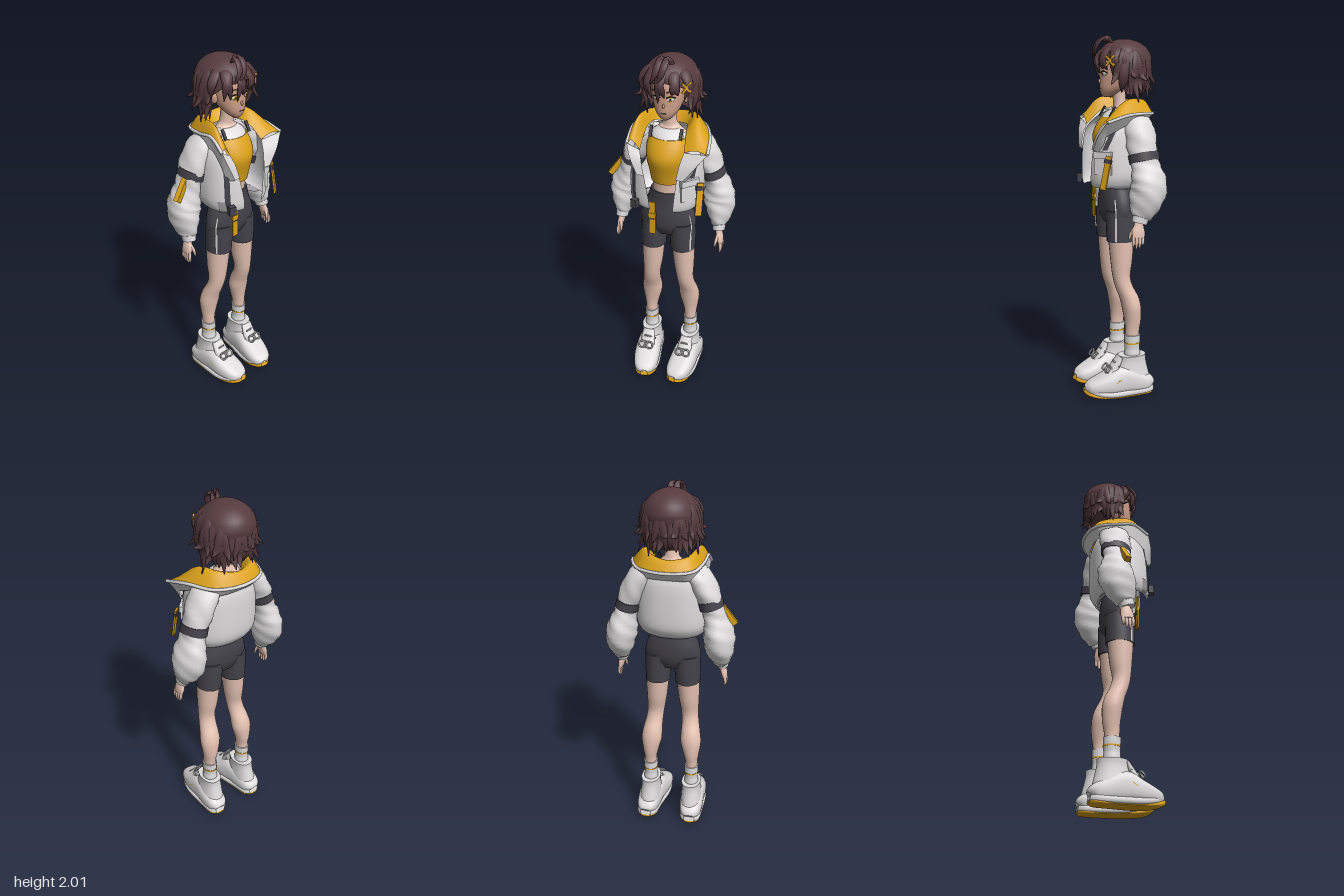
import * as THREE from 'three';

const mat = (name, color) => Object.assign(new THREE.MeshStandardMaterial({ color, side: THREE.DoubleSide }), { name });
const rad = THREE.MathUtils.degToRad;
const V = (a) => new THREE.Vector3(a[0], a[1], a[2]);
const spow = (v, e) => Math.sign(v) * Math.pow(Math.abs(v), e);

// Catmull-Rom smoothing of rows of numbers
function smooth(rows, k = 4) {
  const out = [], n = rows.length - 1;
  for (let i = 0; i < n; i++) {
    const [a, b, c, d] = [-1, 0, 1, 2].map((o) => rows[Math.min(n, Math.max(0, i + o))]);
    for (let j = 0; j < k; j++) {
      const t = j / k;
      out.push(b.map((_, q) => 0.5 * (2 * b[q] + (c[q] - a[q]) * t + (2 * a[q] - 5 * b[q] + 4 * c[q] - d[q]) * t * t
        + (3 * b[q] - a[q] - 3 * c[q] + d[q]) * t * t * t)));
    }
  }
  return [...out, rows[n]];
}

function geometry(pos, idx) {
  const g = new THREE.BufferGeometry();
  g.setAttribute('position', new THREE.Float32BufferAttribute(pos, 3));
  g.setIndex(idx);
  g.computeVertexNormals();
  return g;
}

// Closed solid through rows [x, y, z, radiusA, radiusB]; rings are level unless tilt is set
function loft(rows, { seg = 20, e = 1, tilt = false, ref = [0, 0, 1], wave = 0 } = {}) {
  const R = smooth(rows), pos = [], idx = [], Z = V(ref), rings = [];
  const level = new THREE.Vector3(0, Math.sign(R.at(-1)[1] - R[0][1]), 0);
  R.forEach((r, i) => {
    const T = tilt ? V(R[Math.min(i + 1, R.length - 1)]).sub(V(R[Math.max(i - 1, 0)])).normalize() : level;
    const U = T.clone().cross(Z).normalize(), W = T.clone().cross(U), ring = [];
    for (let j = 0; j < seg; j++) {
      const a = (j / seg) * Math.PI * 2, f = 1 + wave * Math.sin(3 * a + i * 0.9) * Math.sin(i * 0.55);
      ring.push(V(r).addScaledVector(U, spow(Math.cos(a), e) * Math.max(r[3], 0.0005) * f)
        .addScaledVector(W, spow(Math.sin(a), e) * Math.max(r[4], 0.0005) * f));
    }
    rings.push(ring);
    ring.forEach((p) => pos.push(p.x, p.y, p.z));
  });
  for (let i = 0; i < R.length - 1; i++) for (let j = 0; j < seg; j++) {
    const a = i * seg + j, b = i * seg + (j + 1) % seg;
    idx.push(a, b, b + seg, a, b + seg, a + seg);
  }
  [[0, true], [R.length - 1, false]].forEach(([i, flip]) => {
    const c = pos.length / 3;
    pos.push(...R[i].slice(0, 3));
    rings[i].forEach((p) => pos.push(p.x, p.y, p.z));
    for (let j = 0; j < seg; j++) {
      const a = c + 1 + j, b = c + 1 + (j + 1) % seg;
      flip ? idx.push(c, b, a) : idx.push(c, a, b);
    }
  });
  return geometry(pos, idx);
}

// Grid of points(u index, v index)
function grid(rows, cols, fn) {
  const pos = [], idx = [];
  for (let i = 0; i <= rows; i++) for (let j = 0; j <= cols; j++) pos.push(...fn(i, j));
  for (let i = 0; i < rows; i++) for (let j = 0; j < cols; j++) {
    const a = i * (cols + 1) + j, b = a + cols + 1;
    idx.push(a, a + 1, b + 1, a, b + 1, b);
  }
  return geometry(pos, idx);
}

// Open wall through rows [y, rx, rz, cx, cz, angle0, angle1], angle from +z towards +x
function shell(rows, { seg = 40, e = 1 } = {}) {
  const R = smooth(rows);
  return grid(R.length - 1, seg, (i, j) => {
    const [y, rx, rz, cx, cz, a0, a1] = R[i], a = a0 + (a1 - a0) * j / seg;
    return [cx + rx * spow(Math.sin(a), e), y, cz + rz * spow(Math.cos(a), e)];
  });
}

// Smooth surface across several guide curves
function ribbon(...guides) {
  const lines = guides.map((p) => new THREE.CatmullRomCurve3(p.map(V)).getPoints(48));
  const across = lines[0].map((_, j) => smooth(lines.map((l) => l[j].toArray()), 5));
  return grid(across[0].length - 1, 48, (i, j) => across[j][i]);
}

export function createModel() {
  const M = {
    skin: mat('skin', 0xe6c3b3), face: mat('faceSkin', 0xcf9f8a), hair: mat('hairBrown', 0x563b3e), white: mat('white', 0xdedcdd),
    yellow: mat('yellow', 0xdba21a), dark: mat('charcoal', 0x45434b), grey: mat('grey', 0xa5a3a6), ink: mat('ink', 0x2a2023),
  };
  const model = new THREE.Group();
  const add = (name, geo, m, p, r) => {
    const o = new THREE.Mesh(geo, m);
    o.name = name;
    if (p) o.position.set(...p);
    if (r) o.rotation.set(...r);
    model.add(o);
    return o;
  };
  const box = (name, size, m, p, r) => add(name, new THREE.BoxGeometry(...size), m, p, r);
  const ball = (name, size, m, p, r) => add(name, new THREE.SphereGeometry(1, 18, 12), m, p, r).scale.set(...size);
  const tube = (name, pts, r, m) => add(name, new THREE.TubeGeometry(new THREE.CatmullRomCurve3(pts.map(V)), 40, r, 6), m);

  // Torso, top and neck
  add('torso', loft([[0, 1.2, 0.005, 0.09, 0.075], [0, 1.32, 0.01, 0.082, 0.075], [0, 1.45, 0.02, 0.098, 0.088], [0, 1.56, -0.01, 0.115, 0.07],
    [0, 1.61, -0.025, 0.06, 0.045], [0, 1.64, -0.025, 0.037, 0.037], [0, 1.72, -0.015, 0.035, 0.035]]), M.skin);
  add('tankTop', loft([[0, 1.32, 0.015, 0.09, 0.085], [0, 1.38, 0.02, 0.098, 0.092], [0, 1.46, 0.025, 0.113, 0.104], [0, 1.52, 0.015, 0.113, 0.095],
    [0, 1.57, 0, 0.1, 0.078]], { seg: 32 }), M.yellow);
  add('neckTrim', loft([[0, 1.565, 0, 0.095, 0.08], [0, 1.59, -0.008, 0.085, 0.066], [0, 1.61, -0.02, 0.06, 0.048]], { seg: 32 }), M.white);

  // Shorts
  add('shortsHip', loft([[0, 0.985, 0, 0.135, 0.06], [0, 1.04, 0, 0.158, 0.085], [0, 1.11, -0.002, 0.15, 0.092], [0, 1.19, 0, 0.118, 0.086],
    [0, 1.26, 0.005, 0.096, 0.082]], { seg: 32 }), M.dark);

  for (const s of [-1, 1]) {
    const side = s > 0 ? 'left' : 'right';
    const mir = (rows) => rows.map((r) => [r[0] * s, ...r.slice(1)]);

    // Legs
    add(side + 'ShortsLeg', loft(mir([[0.086, 0.89, 0, 0.071, 0.08], [0.084, 0.96, 0, 0.073, 0.083], [0.08, 1.06, 0, 0.075, 0.084]])), M.dark);
    add(side + 'ShortsStripe', shell([[0.895, 0.073, 0.082], [0.98, 0.0755, 0.0855], [1.06, 0.081, 0.088], [1.13, 0.07, 0.09]]
      .map(([y, a, b]) => [y, a, b, s * (y > 1.1 ? 0.08 : 0.084), 0, s * rad(49), s * rad(57)]), { seg: 4 }), M.white);
    add(side + 'Leg', loft(mir([[0.122, 0.2, -0.055, 0.034, 0.038], [0.124, 0.36, -0.055, 0.035, 0.04], [0.122, 0.43, -0.058, 0.045, 0.047],
      [0.117, 0.51, -0.052, 0.06, 0.054], [0.113, 0.57, -0.038, 0.056, 0.054], [0.106, 0.63, -0.012, 0.05, 0.05], [0.1, 0.69, 0.002, 0.05, 0.05],
      [0.094, 0.78, 0, 0.059, 0.062], [0.088, 0.92, 0, 0.067, 0.074]])), M.skin);
    add(side + 'Sock', loft(mir([[0.123, 0.2, -0.055, 0.039, 0.044], [0.124, 0.24, -0.055, 0.042, 0.046], [0.124, 0.27, -0.055, 0.038, 0.043],
      [0.124, 0.3, -0.055, 0.04, 0.045], [0.124, 0.35, -0.055, 0.041, 0.046]])), M.white);
    add(side + 'SockStripe', loft(mir([[0.124, 0.3, -0.055, 0.042, 0.047], [0.124, 0.308, -0.055, 0.042, 0.047]])), M.yellow);

    // Shoes
    const along = { tilt: true, ref: [0, 1, 0], e: 0.75, seg: 24 };
    add(side + 'ShoeUpper', loft(mir([[0.134, 0.045, -0.168, 0.03, 0.025], [0.133, 0.058, -0.145, 0.056, 0.047], [0.13, 0.075, -0.08, 0.068, 0.065],
      [0.123, 0.096, 0, 0.073, 0.086], [0.115, 0.079, 0.08, 0.078, 0.066], [0.104, 0.064, 0.15, 0.071, 0.048], [0.095, 0.056, 0.195, 0.052, 0.034],
      [0.091, 0.053, 0.218, 0.022, 0.014]]), along), M.white);
    add(side + 'Midsole', loft(mir([[0.134, 0.036, -0.172, 0.032, 0.016], [0.133, 0.03, -0.14, 0.06, 0.02], [0.128, 0.027, -0.05, 0.069, 0.02],
      [0.116, 0.027, 0.07, 0.08, 0.02], [0.106, 0.036, 0.14, 0.073, 0.018], [0.099, 0.047, 0.185, 0.053, 0.014]]), { ...along, e: 0.55 }), M.white);
    add(side + 'Sole', loft(mir([[0.134, 0.022, -0.173, 0.03, 0.013], [0.133, 0.013, -0.14, 0.058, 0.013], [0.128, 0.007, -0.05, 0.064, 0.007],
      [0.116, 0.008, 0.07, 0.074, 0.008], [0.104, 0.018, 0.15, 0.068, 0.015], [0.094, 0.034, 0.198, 0.05, 0.02], [0.089, 0.046, 0.224, 0.022, 0.012]]), along), M.yellow);
    add(side + 'ShoeCollar', loft(mir([[0.128, 0.05, -0.05, 0.064, 0.11], [0.127, 0.1, -0.052, 0.064, 0.105], [0.125, 0.15, -0.052, 0.059, 0.093],
      [0.124, 0.2, -0.053, 0.055, 0.081], [0.124, 0.235, -0.053, 0.057, 0.08]]), { e: 0.9 }), M.white);
    add(side + 'ShoeTongue', loft(mir([[0.115, 0.1, 0.1, 0.04, 0.026], [0.119, 0.16, 0.055, 0.044, 0.026], [0.123, 0.23, 0.018, 0.036, 0.012]]), { tilt: true }), M.white);
    for (const [y, z] of [[0.148, 0.103], [0.177, 0.083], [0.205, 0.058]]) {
      tube(side + 'Lace', [[s * 0.118 - 0.045, y - 0.025, z - 0.022], [s * 0.118, y, z], [s * 0.118 + 0.045, y - 0.025, z - 0.022]], 0.005, M.grey);
    }
    for (const d of [-1, 1]) add(side + 'LaceLoop', new THREE.TorusGeometry(0.02, 0.005, 6, 18), M.white, [s * 0.118 + d * 0.024, 0.168, 0.1], [-0.7, 0, d * 0.3]);
    box(side + 'ShoeAccent', [0.006, 0.016, 0.034], M.yellow, [s * 0.191, 0.1, 0.045], [0.6, 0, 0]);

    // Sleeves and arm bands
    const arm = { tilt: true, seg: 28 }, dz = s > 0 ? 0 : 0.015, up = s > 0 ? 0 : 1;
    const fwd = (rows) => rows.map((r) => [r[0], r[1], r[2] + dz, r[3], r[4]]);
    add(side + 'Sleeve', loft(fwd(mir([[0.09, 1.575, -0.05, 0.035, 0.06], [0.15, 1.53, -0.065, 0.065, 0.085], [0.197, 1.45, -0.072, 0.068, 0.086],
      [0.23, 1.37, -0.075, 0.059, 0.077], [0.245, 1.31, -0.08, 0.062, 0.08], [0.26, 1.25, -0.086, 0.08, 0.094], [0.27, 1.19, -0.085, 0.086, 0.1],
      [0.276, 1.12, -0.065, 0.074, 0.088], [0.28, 1.06, -0.042, 0.046, 0.06], [0.282, 1.045, -0.036, 0.036, 0.046]])), { ...arm, wave: 0.08 }), M.white);
    add(side + 'Cuff', loft(fwd(mir([[0.281, 1.06, -0.04, 0.038, 0.047], [0.284, 1.02, -0.028, 0.034, 0.042]])), arm), M.white);
    add(side + 'ArmBand', loft(fwd(mir([[0.224 - up * 0.012, 1.382 + up * 0.035, -0.074, 0.066, 0.085], [0.236 - up * 0.012, 1.338 + up * 0.035, -0.078, 0.065, 0.084]])), arm), M.dark);

    // Hands
    add(side + 'Palm', loft(mir([[0.283, 1.04, -0.03, 0.02, 0.026], [0.287, 1.01, -0.025, 0.019, 0.027], [0.295, 0.975, -0.02, 0.018, 0.036],
      [0.302, 0.945, -0.018, 0.013, 0.034]]), arm), M.skin);
    for (let f = 0; f < 4; f++) {
      const z = 0.01 - f * 0.018, len = [0.045, 0.055, 0.052, 0.038][f];
      add(side + 'Finger', loft(mir([[0.301, 0.955, z, 0.009, 0.009], [0.306, 0.945 - len / 2, z + 0.002, 0.009, 0.009],
        [0.303, 0.945 - len, z + 0.003, 0.005, 0.005]]), { tilt: true, seg: 8 }), M.skin);
    }
    add(side + 'Thumb', loft(mir([[0.287, 1.0, -0.005, 0.01, 0.012], [0.28, 0.965, 0.018, 0.009, 0.009], [0.276, 0.935, 0.024, 0.005, 0.005]]), { tilt: true, seg: 8 }), M.skin);
    box(side + 'ShoulderStrap', [0.016, 0.06, 0.008], M.dark, [s * 0.082, 1.6, 0.048], [-0.55, 0, 0]);

    // Face features
    ball(side + 'EyeWhite', [0.02, 0.011, 0.004], M.white, [s * 0.037, 1.798, 0.081], [0, s * 0.42, 0]);
    ball(side + 'Iris', [0.01, 0.011, 0.004], M.yellow, [s * 0.036, 1.798, 0.083], [0, s * 0.42, 0]);
    ball(side + 'Pupil', [0.004, 0.006, 0.003], M.ink, [s * 0.036, 1.798, 0.086], [0, s * 0.42, 0]);
    tube(side + 'Lash', [[s * 0.016, 1.806, 0.09], [s * 0.036, 1.813, 0.085], [s * 0.058, 1.804, 0.069]], 0.003, M.ink);
    tube(side + 'Brow', [[s * 0.015, 1.832, 0.088], [s * 0.036, 1.838, 0.082], [s * 0.058, 1.832, 0.068]], 0.0025, M.hair);
    ball(side + 'Ear', [0.012, 0.03, 0.02], M.face, [s * 0.087, 1.78, -0.02], [0, -s * 0.3, 0]);
  }

  // Jacket: rows are y, rx, rz, cz, right opening x, left opening x
  const E = 0.85;
  const J = [[1.195, 0.17, 0.137, 0.028, 0.05, 0.075], [1.215, 0.185, 0.152, 0.025, 0.052, 0.075], [1.27, 0.2, 0.165, 0.015, 0.058, 0.08],
    [1.4, 0.197, 0.165, 0.01, 0.085, 0.095], [1.5, 0.187, 0.155, 0.003, 0.115, 0.125], [1.56, 0.16, 0.125, -0.01, 0.12, 0.12], [1.6, 0.1, 0.085, -0.03, 0.08, 0.08]];
  const gap = (x, rx) => Math.asin(Math.pow(x / rx, 1 / E));
  add('jacketBody', shell(J.map(([y, rx, rz, cz, r, l]) => [y, rx, rz, 0, cz, gap(l, rx), Math.PI * 2 - gap(r, rx)]), { e: E, seg: 60 }), M.white);
  add('hemGather', shell([[1.195, 0.17, 0.137, 0.028], [1.185, 0.15, 0.115, 0.018], [1.195, 0.118, 0.088, 0]]
    .map(([y, rx, rz, cz]) => [y, rx, rz, 0, cz, rad(75), rad(285)]), { e: 0.9 }), M.grey);
  const strip = (name, a, b, half, list, m) => add(name, shell(list.map((i, n) => {
    const [y, rx, rz, cz] = J[i], d = n * (b - a) / (list.length - 1);
    return [y, rx + 0.005, rz + 0.005, 0, cz, rad(a + d - half), rad(a + d + half)];
  }), { e: E, seg: 4 }), m);
  strip('rightPanelStrap', -41, -45, 5, [1, 2, 3, 4], M.dark);
  strip('rightPanelPatch', -54, -54, 8, [0, 1, 2], M.grey);
  strip('leftPanelStrap', 52, 66, 5, [3, 4], M.dark);
  box('panelPouch', [0.036, 0.05, 0.03], M.dark, [-0.137, 1.225, 0.168], [0, -0.3, 0]);
  box('leftPocket', [0.1, 0.11, 0.022], M.white, [0.15, 1.325, 0.125], [0, 0.8, 0]);
  box('leftPocketFlap', [0.106, 0.035, 0.03], M.white, [0.152, 1.375, 0.127], [0, 0.8, 0]);
  box('leftYellowStrap', [0.036, 0.18, 0.01], M.yellow, [0.208, 1.285, 0.13], [-0.2, 0.6, 0]);
  box('leftBuckle', [0.042, 0.022, 0.016], M.dark, [0.207, 1.345, 0.118], [-0.2, 0.6, 0]);
  box('hangingStrap', [0.038, 0.2, 0.008], M.yellow, [-0.06, 1.11, 0.108]);
  box('hangingBuckle', [0.044, 0.022, 0.014], M.yellow, [-0.06, 1.13, 0.108]);
  box('hangingTab', [0.03, 0.006, 0.012], M.dark, [-0.06, 1.105, 0.108]);
  box('sleeveTag', [0.03, 0.14, 0.03], M.yellow, [-0.306, 1.333, -0.035], [0, 0.2, -0.65]);

  // Wide collar folded over: white underside and lapels, yellow lining rising to a crest around the neck
  const leftTip = [0.245, 1.548, 0.135], rightTip = [-0.182, 1.56, 0.145];
  const rim = [leftTip, [0.222, 1.585, 0], [0.15, 1.59, -0.15], [0, 1.59, -0.2], [-0.135, 1.595, -0.16], [-0.175, 1.61, -0.03], [-0.178, 1.62, 0.06], rightTip];
  const outer = [[0.18, 1.47, 0.12], [0.185, 1.53, 0], [0.13, 1.535, -0.125], [0, 1.535, -0.15], [-0.12, 1.535, -0.13],
    [-0.165, 1.54, -0.03], [-0.165, 1.53, 0.06], [-0.165, 1.47, 0.12]];
  const crest = [[0.18, 1.555, 0.122], [0.152, 1.662, -0.01], [0.105, 1.665, -0.115], [0, 1.648, -0.155], [-0.1, 1.66, -0.125],
    [-0.135, 1.678, -0.03], [-0.145, 1.672, 0.05], [-0.155, 1.575, 0.136]];
  const inner = [[0.118, 1.535, 0.118], [0.1, 1.61, 0.02], [0.075, 1.61, -0.07], [0, 1.6, -0.1], [-0.07, 1.61, -0.08],
    [-0.1, 1.62, -0.03], [-0.11, 1.6, 0.05], [-0.115, 1.525, 0.13]];
  add('collarUnderside', ribbon(outer, rim), M.white);
  add('collarLining', ribbon(inner, crest, rim), M.yellow);
  tube('collarEdge', rim, 0.009, M.white);
  add('leftLapel', ribbon([[0.09, 1.4, 0.17], [0.102, 1.47, 0.152], inner[0]], [[0.13, 1.4, 0.175], [0.19, 1.48, 0.165], leftTip]), M.white);
  add('rightLapel', ribbon([[-0.085, 1.4, 0.17], [-0.1, 1.47, 0.156], inner.at(-1)], [[-0.12, 1.4, 0.175], [-0.16, 1.49, 0.165], rightTip]), M.white);
  add('leftLapelSide', ribbon([[0.13, 1.4, 0.175], [0.19, 1.48, 0.165], leftTip], [[0.14, 1.39, 0.15], [0.17, 1.43, 0.13], outer[0]]), M.white);
  add('rightLapelSide', ribbon([[-0.12, 1.4, 0.175], [-0.16, 1.49, 0.165], rightTip], [[-0.13, 1.39, 0.15], [-0.155, 1.43, 0.13], outer.at(-1)]), M.white);

  // Head
  add('head', loft([[0, 1.675, 0.05, 0.012, 0.014], [0, 1.69, 0.042, 0.035, 0.038], [0, 1.72, 0.022, 0.06, 0.068], [0, 1.76, 0, 0.077, 0.09],
    [0, 1.81, -0.012, 0.085, 0.1], [0, 1.87, -0.03, 0.088, 0.112], [0, 1.94, -0.04, 0.06, 0.08]], { seg: 32 }), M.face);
  ball('nose', [0.006, 0.012, 0.01], M.face, [0, 1.762, 0.09], [-0.3, 0, 0]);
  box('mouth', [0.026, 0.003, 0.006], M.ink, [0, 1.722, 0.09]);

  // Hair cap
  add('hairCap', shell([[1.69, 0.09, 0.08, 100], [1.74, 0.125, 0.115, 86], [1.8, 0.143, 0.138, 68], [1.86, 0.146, 0.15, 38], [1.89, 0.14, 0.15, 0],
    [1.93, 0.12, 0.132, 0], [1.965, 0.08, 0.09, 0], [1.983, 0.035, 0.04, 0], [1.986, 0.001, 0.001, 0]]
    .map(([y, a, b, g]) => [y, a, b, 0, -0.05, rad(g), rad(360 - g)])), M.hair);

  // Hair locks: path of [radius, y] around the crown, rooted inside the cap
  const lock = (deg, path, w, twist) => {
    const rows = path.map(([r, y], i) => {
      const a = rad(deg + twist * i);
      return [r * Math.sin(a), y, -0.045 + 0.96 * r * Math.cos(a), w * [0.5, 1, 1, 0.75, 0.06][i], [0.007, 0.012, 0.012, 0.01, 0.002][i]];
    });
    const a = rad(deg);
    add('hairLock', loft(rows, { tilt: true, seg: 8, ref: [Math.sin(a), 0.6, Math.cos(a)] }), M.hair);
  };
  for (let i = 0; i < 9; i++) { // bangs
    const tip = [1.79, 1.79, 1.785, 1.805, 1.775, 1.82, 1.825, 1.8, 1.79][i];
    lock(-56 + i * 14, [[0.06, 1.95], [0.122, 1.925], [0.157, 1.88], [0.157, 1.845], [0.142, tip]], 0.024, i % 2 ? 4 : -3);
  }
  for (let i = 0; i < 21; i++) { // sides and back, long layer
    const deg = 76 + i * 208 / 20, sideways = Math.abs(Math.sin(rad(deg)));
    lock(deg, [[0.07, 1.945], [0.128, 1.9], [0.15, 1.81], [0.142, 1.75], [0.12 + 0.05 * ((i * 5) % 3) / 2, 1.7 - 0.05 * sideways * ((i * 7) % 4) / 3]], 0.03, i % 2 ? 3 : -3);
  }
  for (let i = 0; i < 13; i++) { // flicked upper layer
    const flick = 0.162 + 0.03 * Math.abs(Math.sin(rad(72 + i * 18)));
    lock(72 + i * 18, [[0.06, 1.95], [0.124, 1.912], [0.15, 1.85], [0.156, 1.79], [flick, 1.74 + 0.02 * (i % 3)]], 0.026, i % 2 ? 6 : -6);
  }
  for (const s of [-1, 1]) lock(s * 68, [[0.1, 1.92], [0.142, 1.88], [0.142, 1.8], [0.13, 1.74], [0.125, 1.67]], 0.016, s * 2);
  for (const x of [-0.022, 0.01]) { // looped forelock
    add('hairLoop', loft([[x + 0.02, 1.92, 0.02, 0.018, 0.008], [x + 0.01, 1.97, 0.035, 0.018, 0.008], [x, 1.99, 0.062, 0.018, 0.008], [x - 0.005, 1.97, 0.095, 0.018, 0.008],
      [x - 0.015, 1.93, 0.112, 0.016, 0.008], [x - 0.04, 1.88, 0.108, 0.003, 0.003]], { tilt: true, seg: 8, ref: [0, 0.5, 1.2] }), M.hair);
  }
  for (const r of [-0.75, 0.75]) box('hairClip', [0.012, 0.07, 0.008], M.yellow, [0.113, 1.865, 0.072], [0, 0.85, r]);
  return model;
}
